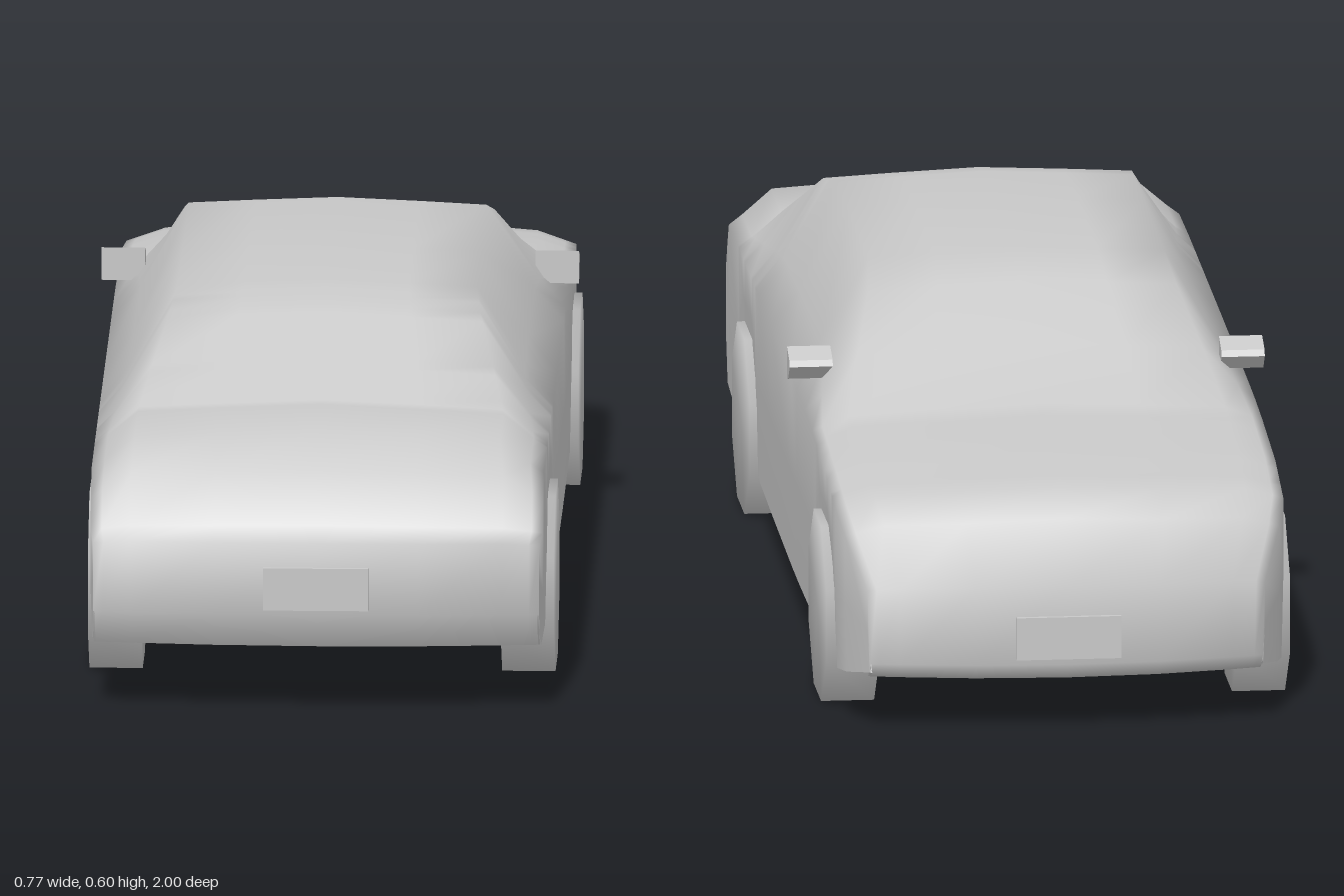
import * as THREE from 'three';
import { mergeVertices } from 'three/addons/utils/BufferGeometryUtils.js';

const WHEEL_Z = [0.58, -0.677];
const lerp = THREE.MathUtils.lerp;

// Body stations: [z, topY, edgeX, edgeY, beltY, sillY, sideZ, beltX]
const tail = [
  [0.952, 0.115, 0.30, 0.115, 0.115, 0.115, 0.93, 0.36],
  [0.990, 0.175, 0.30, 0.175, 0.175, 0.17, 0.970, 0.36],
  [0.992, 0.295, 0.30, 0.293, 0.288, 0.17, 0.968, 0.36],
  [0.950, 0.315, 0.30, 0.310, 0.302, 0.115, 0.935, 0.365],
  [0.925, 0.400, 0.30, 0.390, 0.350, 0.113, 0.91, 0.365],
  [0.900, 0.460, 0.295, 0.447, 0.390, 0.11, 0.885, 0.365],
];
const cabin = [
  [0.73, 0.462, 0.295, 0.448, 0.393, 0.10],
  [0.62, 0.515, 0.275, 0.500, 0.393, 0.10],
  [0.50, 0.572, 0.25, 0.560, 0.393, 0.09],
  [0.40, 0.590, 0.242, 0.578, 0.393, 0.08],
  [0.20, 0.597, 0.24, 0.587, 0.393, 0.075],
  [-0.13, 0.595, 0.24, 0.584, 0.392, 0.07],
  [-0.23, 0.565, 0.25, 0.552, 0.392, 0.07],
  [-0.36, 0.492, 0.28, 0.478, 0.390, 0.072],
  [-0.48, 0.422, 0.305, 0.408, 0.385, 0.075],
];
const nose = [
  [-0.70, 0.400, 0.305, 0.388, 0.370, 0.075, -0.69, 0.365],
  [-0.87, 0.380, 0.30, 0.365, 0.345, 0.08, -0.84, 0.363],
  [-0.945, 0.345, 0.29, 0.330, 0.310, 0.085, -0.885, 0.352],
  [-0.992, 0.245, 0.27, 0.240, 0.235, 0.10, -0.955, 0.322],
  [-0.995, 0.115, 0.27, 0.115, 0.115, 0.10, -0.96, 0.318],
  [-0.960, 0.085, 0.27, 0.085, 0.085, 0.085, -0.92, 0.318],
];

// Height of the wheel cut-out at a given z
function archY(z) {
  const d = Math.min(...WHEEL_Z.map(w => Math.abs(z - w)));
  if (d >= 0.139) return 0;
  if (d > 0.12) return lerp(0.19, 0.09, (d - 0.12) / 0.019);
  return d > 0.06 ? lerp(0.265, 0.19, (d - 0.06) / 0.06) : 0.265;
}

// Extra stations around the wheels, interpolated from their neighbours
function allStations() {
  const base = [...tail, ...cabin, ...nose].map(s => s.length < 8 ? [...s, s[0], 0.365] : s);
  const first = tail.length - 1;
  const last = tail.length + cabin.length + 1;
  const mid = base.slice(first, last + 1);
  const extra = [];
  for (const w of WHEEL_Z) for (const d of [-0.139, -0.12, -0.06, 0.06, 0.12, 0.139]) {
    const z = w + d;
    const i = mid.findIndex((s, k) => k > 0 && s[0] < z);
    const a = mid[i - 1], b = mid[i], t = (z - a[0]) / (b[0] - a[0]);
    extra.push(a.map((v, k) => lerp(v, b[k], t)));
  }
  const middle = [...mid, ...extra].sort((a, b) => b[0] - a[0]);
  return [...base.slice(0, first), ...middle, ...base.slice(last + 1)];
}

// One cross-section, from the left sill over the roof to the right sill
function section([z, topY, edgeX, edgeY, beltY, sillY, sideZ, beltX]) {
  const low = Math.max(sillY, archY(sideZ));
  const tuck = 0.07 * Math.max(0, edgeY - 0.42);
  const half = [
    [edgeX * 0.55, lerp(topY, edgeY, 0.5)],
    [edgeX, edgeY],
    [lerp(edgeX, beltX, 0.72) - tuck, lerp(edgeY, beltY, 0.72)],
    [beltX, beltY],
    [beltX, lerp(beltY, low, 0.5)],
    [beltX - 0.003, low],
  ];
  const ring = [...half].reverse().concat([[0, topY]], half.map(([x, y]) => [-x, y]));
  return ring.map(([x, y]) => [x, y, lerp(z, sideZ, (x / beltX) ** 2)]);
}

function bodyShell() {
  const rings = allStations().map(section);
  const n = rings[0].length, index = [];
  for (let i = 0; i < rings.length - 1; i++) for (let j = 0; j < n - 1; j++) {
    const a = i * n + j, b = a + n;
    index.push(a, b, a + 1, a + 1, b, b + 1);
  }
  const geo = new THREE.BufferGeometry();
  geo.setAttribute('position', new THREE.Float32BufferAttribute(rings.flat(2), 3));
  geo.setIndex(index);
  geo.computeVertexNormals();
  return geo;
}

// Eight-sided wheel with soft normals
function wheelGeometry() {
  let geo = new THREE.CylinderGeometry(0.157, 0.157, 0.086, 8);
  geo.rotateY(Math.PI / 8);
  geo.rotateZ(Math.PI / 2);
  geo.deleteAttribute('normal');
  geo.deleteAttribute('uv');
  geo = mergeVertices(geo);
  geo.computeVertexNormals();
  return geo;
}

// Wedge mirror housing, profile drawn in (-z, y)
function mirrorGeometry() {
  const profile = [[0.27, 0.42], [0.29, 0.425], [0.315, 0.45], [0.31, 0.46], [0.27, 0.474]];
  const shape = new THREE.Shape(profile.map(([u, v]) => new THREE.Vector2(u, v)));
  const geo = new THREE.ExtrudeGeometry(shape, { depth: 0.07, bevelEnabled: false });
  geo.rotateY(Math.PI / 2);
  return geo.translate(-0.035, 0, 0);
}

export function createModel() {
  const car = new THREE.Group();
  car.name = 'car';
  const paint = new THREE.MeshStandardMaterial({ color: 0xc8c8c8, side: THREE.DoubleSide });
  paint.name = 'light grey';
  const add = (name, geo, x = 0, y = 0, z = 0) => {
    const mesh = new THREE.Mesh(geo, paint);
    mesh.name = name;
    mesh.position.set(x, y, z);
    car.add(mesh);
  };

  add('body', bodyShell());

  const wheel = wheelGeometry(), mirror = mirrorGeometry();
  for (const [side, s] of [['left', 1], ['right', -1]]) {
    WHEEL_Z.forEach((z, i) => add(`${side}${i ? 'Nose' : 'Tail'}Wheel`, wheel, s * 0.333, 0.145, z));
    add(`${side}Mirror`, mirror, s * 0.35, 0, 0);
  }

  // Number plates
  const plate = new THREE.BoxGeometry(0.17, 0.07, 0.008);
  add('tailPlate', plate, 0, 0.22, 0.994);
  add('nosePlate', plate, 0, 0.16, -0.996);
  return car;
}
